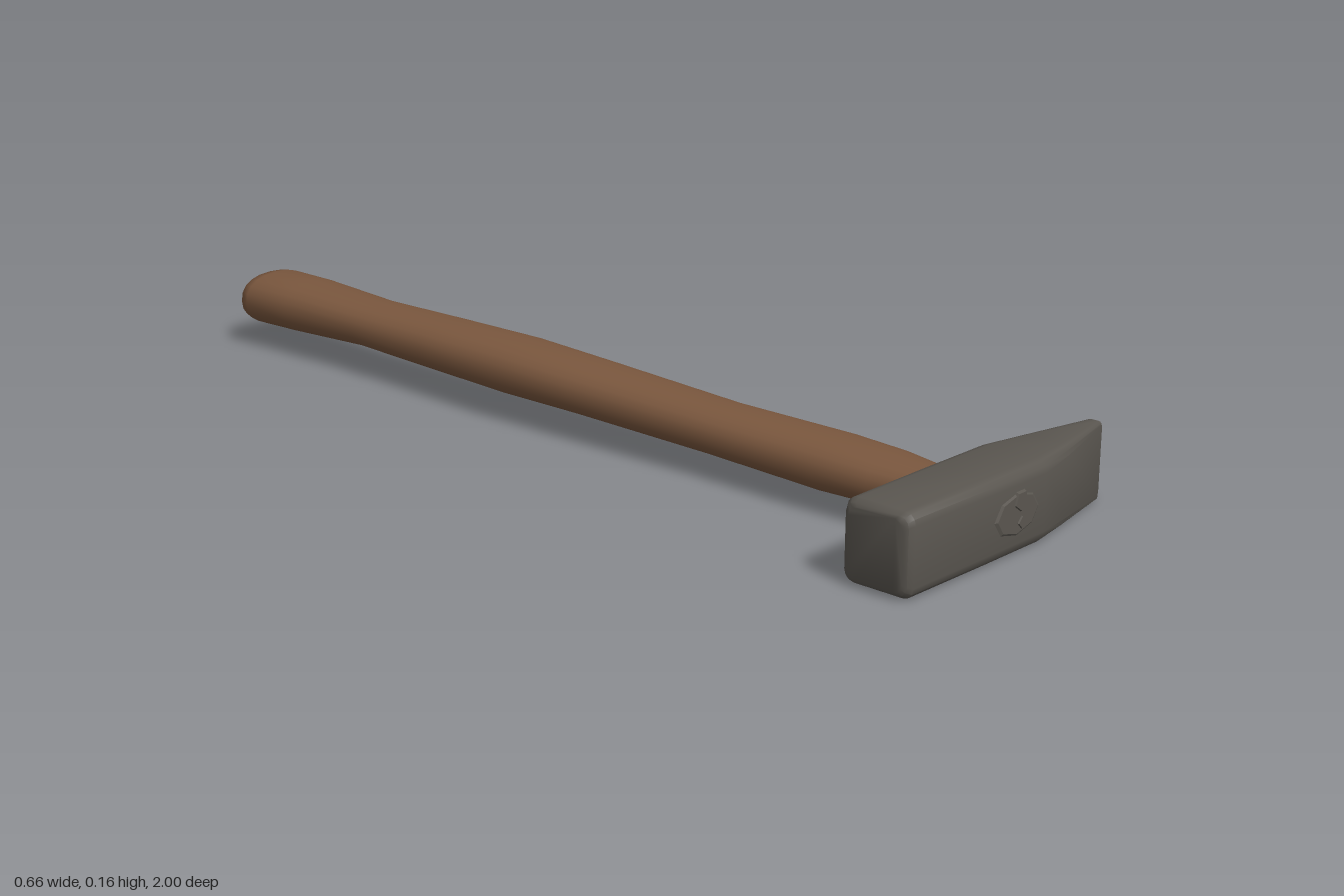
import * as THREE from 'three';
import { toCreasedNormals } from 'three/addons/utils/BufferGeometryUtils.js';

const steel = new THREE.MeshStandardMaterial({ color: 0x5a5650 });
steel.name = 'dark steel';
const wood = new THREE.MeshStandardMaterial({ color: 0x7a573e });
wood.name = 'brown wood';

// Skin a list of equal rings of Vector3 and close both ends.
function loft(rings, crease) {
  const n = rings[0].length, pos = [], idx = [];
  rings.forEach((r) => r.forEach((p) => pos.push(p.x, p.y, p.z)));
  for (let i = 0; i < rings.length - 1; i++) {
    for (let j = 0; j < n; j++) {
      const a = i * n + j, b = i * n + (j + 1) % n;
      idx.push(a, b, b + n, a, b + n, a + n);
    }
  }
  const last = (rings.length - 1) * n;
  for (let j = 1; j < n - 1; j++) {
    idx.push(0, j + 1, j, last, last + j, last + j + 1);
  }
  const g = new THREE.BufferGeometry();
  g.setAttribute('position', new THREE.Float32BufferAttribute(pos, 3));
  g.setIndex(idx);
  return toCreasedNormals(g, crease);
}

// Rounded rectangle ring, counter-clockwise, as [u, v] pairs.
function roundedRing(hu, hv, r, steps = 3) {
  const pts = [];
  [[1, 1], [-1, 1], [-1, -1], [1, -1]].forEach(([su, sv], q) => {
    for (let k = 0; k <= steps; k++) {
      const a = (q + k / steps) * Math.PI / 2;
      pts.push([su * (hu - r) + r * Math.cos(a), sv * (hv - r) + r * Math.sin(a)]);
    }
  });
  return pts;
}

function add(group, name, geometry, material) {
  const m = new THREE.Mesh(geometry, material);
  m.name = name;
  group.add(m);
  return m;
}

export function createModel() {
  const hammer = new THREE.Group();
  hammer.name = 'hammer';

  // Head: square poll at -x tapering to a vertical peen at +x
  // [x, centre y, half height, centre z, half depth, corner radius]
  const headSections = [
    [-0.330, 0.083, 0.066, 0.918, 0.058, 0.018],
    [-0.326, 0.083, 0.072, 0.918, 0.066, 0.02],
    [-0.315, 0.083, 0.078, 0.918, 0.072, 0.022],
    [-0.10, 0.082, 0.079, 0.920, 0.074, 0.024],
    [0.06, 0.081, 0.079, 0.921, 0.074, 0.024],
    [0.16, 0.080, 0.078, 0.923, 0.053, 0.018],
    [0.318, 0.079, 0.077, 0.926, 0.015, 0.007],
    [0.328, 0.079, 0.068, 0.926, 0.010, 0.005],
  ];
  add(hammer, 'head', loft(headSections.map(([x, cy, hy, cz, hz, r]) =>
    roundedRing(hy, hz, r).map(([u, v]) => new THREE.Vector3(x, cy + u, cz + v))), 0.6), steel);

  // Handle: oval shaft with a waist, a palm swell and a flared butt
  // [z, min x, max x, min y, max y]
  const handleSections = [
    [-1.000, -0.106, 0.036, 0.060, 0.143],
    [-0.993, -0.118, 0.046, 0.050, 0.152],
    [-0.970, -0.124, 0.052, 0.045, 0.156],
    [-0.850, -0.119, 0.049, 0.047, 0.157],
    [-0.640, -0.111, 0.037, 0.057, 0.150],
    [-0.420, -0.119, 0.040, 0.053, 0.155],
    [-0.200, -0.125, 0.044, 0.049, 0.158],
    [0.000, -0.119, 0.044, 0.049, 0.150],
    [0.330, -0.105, 0.042, 0.042, 0.136],
    [0.600, -0.106, 0.054, 0.034, 0.134],
    [0.720, -0.101, 0.052, 0.037, 0.129],
    [0.800, -0.090, 0.038, 0.040, 0.124],
    [0.870, -0.094, 0.046, 0.042, 0.120],
  ];
  const sides = 20;
  add(hammer, 'handle', loft(handleSections.map(([z, x0, x1, y0, y1]) =>
    Array.from({ length: sides }, (_, i) => {
      const a = i / sides * Math.PI * 2;
      const soft = (t) => Math.sign(t) * Math.pow(Math.abs(t), 0.85);
      return new THREE.Vector3((x0 + x1) / 2 + (x1 - x0) / 2 * soft(Math.cos(a)),
        (y0 + y1) / 2 + (y1 - y0) / 2 * soft(Math.sin(a)), z);
    })), 0.9), wood);

  // Eye on the front face: a faint faceted boss with two wedge stubs
  const eye = new THREE.Group();
  eye.name = 'eye';
  hammer.add(eye);
  const boss = add(eye, 'eyeBoss', new THREE.CylinderGeometry(0.06, 0.075, 0.006, 8), steel);
  boss.geometry = toCreasedNormals(boss.geometry, 0.2);
  boss.rotation.x = Math.PI / 2;
  boss.scale.z = 0.6;
  boss.position.set(-0.025, 0.083, 0.994);
  [[-0.018, 0.107, 0.022, 5], [-0.014, 0.066, 0.013, 4]].forEach(([x, y, r, n]) => {
    const stub = add(eye, 'wedge', toCreasedNormals(
      new THREE.CylinderGeometry(r * 0.85, r, 0.006, n), 0.2), steel);
    stub.rotation.x = Math.PI / 2;
    stub.position.set(x, y, 0.997);
  });

  return hammer;
}
